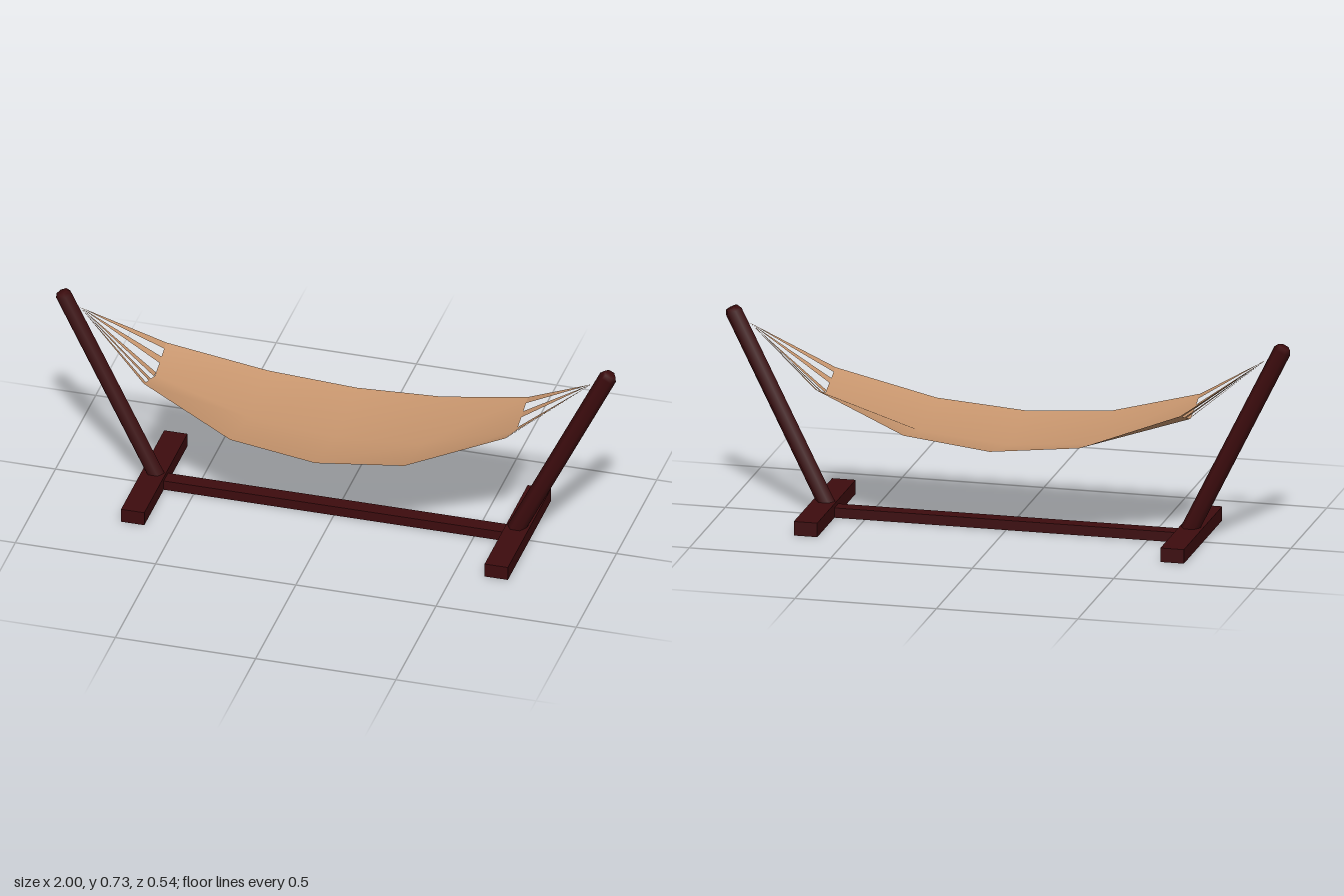
import * as THREE from 'three';

const wood = new THREE.MeshStandardMaterial({ color: 0x3d0c0e, side: THREE.DoubleSide });
wood.name = 'dark red wood';
const cloth = new THREE.MeshStandardMaterial({ color: 0xc8966e, side: THREE.DoubleSide });
cloth.name = 'tan cloth';

function part(name, geometry, material, parent) {
  const mesh = new THREE.Mesh(geometry, material);
  mesh.name = name;
  parent.add(mesh);
  return mesh;
}

// Box standing on the ground, open underneath
function channel(w, h, d) {
  const g = new THREE.BoxGeometry(w, h, d).translate(0, h / 2, 0);
  const index = Array.from(g.index.array);
  index.splice(18, 6);
  g.setIndex(index);
  g.clearGroups();
  return g;
}

// Surface from points and triangles
function surface(points, index) {
  const g = new THREE.BufferGeometry();
  g.setAttribute('position', new THREE.Float32BufferAttribute(points, 3));
  g.setIndex(index);
  g.computeVertexNormals();
  return g;
}

// Sling: V-shaped cross-sections [x, half width, edge height, centre height]
function slingGeometry() {
  const sections = [
    [-0.645, 0.14, 0.487, 0.437], [-0.31, 0.235, 0.375, 0.325], [0, 0.256, 0.346, 0.296],
    [0.31, 0.235, 0.375, 0.325], [0.645, 0.14, 0.487, 0.437],
  ];
  const points = [], index = [];
  sections.forEach(([x, w, edge, mid], i) => {
    points.push(x, edge, -w, x, mid, 0, x, edge, w);
    if (i === sections.length - 1) return;
    for (let j = 0; j < 2; j++) {
      const a = i * 3 + j, b = a + 3;
      index.push(a, a + 1, b, b, a + 1, b + 1);
    }
  });
  return surface(points, index);
}

// Flat cord tapering from the sling end to the post
function cordGeometry(side, z0, z1) {
  const x = side * 0.645;
  const y = (z) => 0.437 + Math.abs(z) * 0.357;
  const points = [x, y(z0), z0, x, y(z1), z1, side * 0.912, 0.667, 0];
  return surface(points, side > 0 ? [0, 1, 2] : [0, 2, 1]);
}

// Six-sided post with a bevelled top, leaning outward
function postGeometry(side) {
  const base = new THREE.Vector2(0.636, 0.03), top = new THREE.Vector2(0.97, 0.705);
  const length = base.distanceTo(top);
  const lean = Math.atan2(top.x - base.x, top.y - base.y);
  const profile = [[0.031, 0], [0.031, length], [0.022, length + 0.015], [0, length + 0.015]]
    .map(([r, y]) => new THREE.Vector2(r, y));
  return new THREE.LatheGeometry(profile, 6)
    .rotateY(Math.PI / 2)
    .rotateZ(-side * lean)
    .translate(side * base.x, base.y, 0);
}

export function createModel() {
  const model = new THREE.Group();
  model.name = 'hammock';

  part('groundBeam', channel(1.24, 0.035, 0.054), wood, model);
  part('sling', slingGeometry(), cloth, model);

  for (const side of [-1, 1]) {
    const end = new THREE.Group();
    end.name = side > 0 ? 'leftEnd' : 'rightEnd';
    model.add(end);

    part('foot', channel(0.083, 0.05, 0.536), wood, end).position.x = side * 0.648;
    part('post', postGeometry(side), wood, end);

    // Five cords spread across the sling end
    for (const z of [-0.127, -0.067, 0, 0.067, 0.127]) {
      part('cord', cordGeometry(side, z - 0.013, z + 0.013), cloth, end);
    }
  }
  return model;
}
